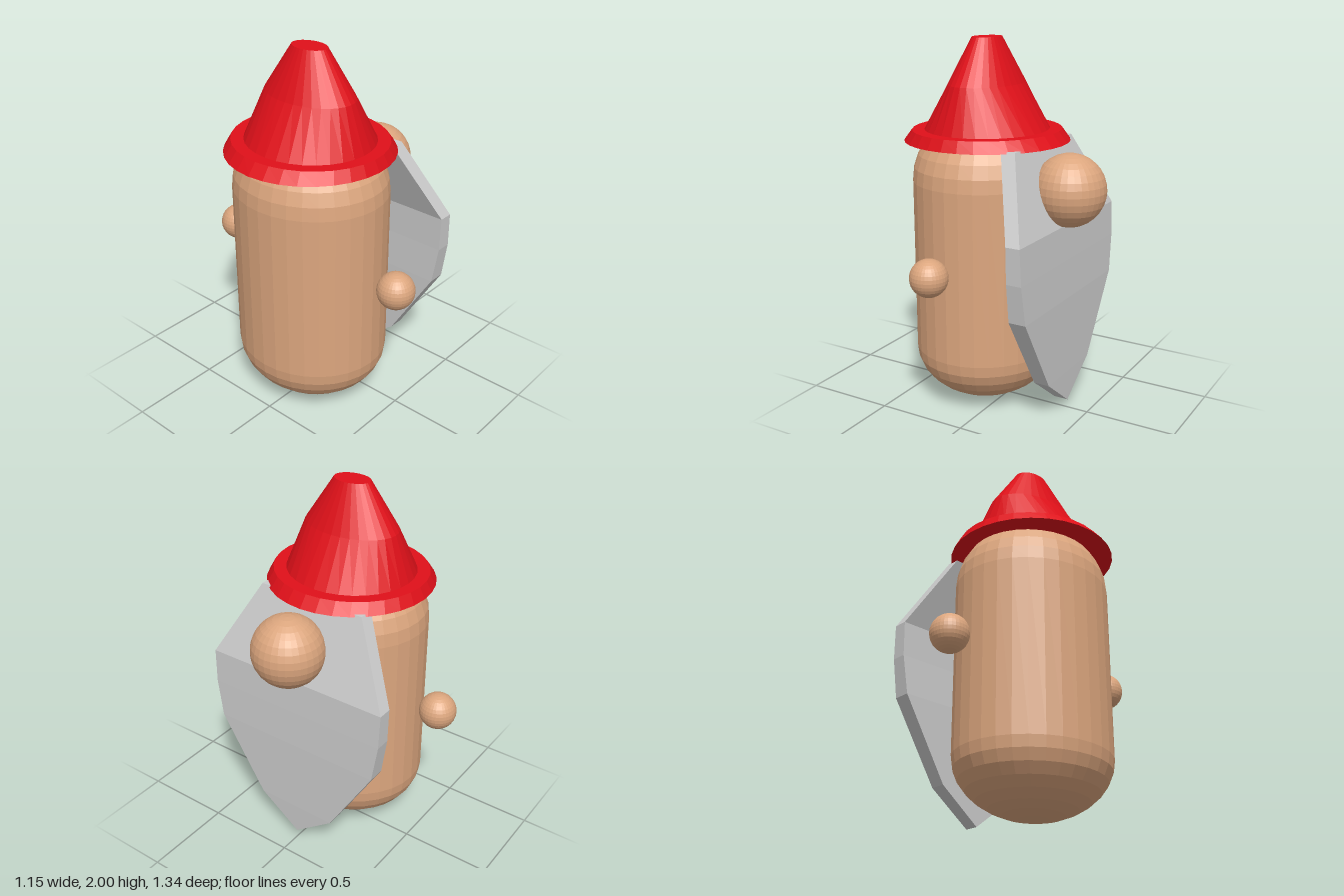
import * as THREE from 'three';

const skin = new THREE.MeshStandardMaterial({ color: 0xdca67e, flatShading: true });
const red = new THREE.MeshStandardMaterial({ color: 0xe01019, flatShading: true });
const grey = new THREE.MeshStandardMaterial({ color: 0xcccccc, flatShading: true });

const CX = -0.13; // axis of body and hat
const CZ = -0.007;

function addMesh(group, name, geometry, material, x = 0, y = 0, z = 0) {
  const mesh = new THREE.Mesh(geometry, material);
  mesh.name = name;
  mesh.position.set(x, y, z);
  group.add(mesh);
  return mesh;
}

// Stacked elliptical rings, given as [y, x radius, z radius] from bottom to top
function ellipticalLathe(rings, segments = 32) {
  const geometry = new THREE.LatheGeometry(rings.map(([y]) => new THREE.Vector2(1, y)), segments);
  const p = geometry.attributes.position;
  for (let i = 0; i < p.count; i++) {
    const [, rx, rz] = rings[i % rings.length];
    p.setX(i, p.getX(i) * rx);
    p.setZ(i, p.getZ(i) * rz);
  }
  geometry.computeVertexNormals();
  return geometry;
}

// Pill-shaped body, slightly wider across than deep
function bodyGeometry() {
  const rings = [];
  const steps = 8;
  const cap = (baseY, height, t) => {
    const r = Math.cos(t);
    rings.push([baseY + height * Math.sin(t), 0.393 * r, 0.428 * r]);
  };
  for (let i = 0; i <= steps; i++) cap(0.31, 0.305, (i / steps - 1) * Math.PI / 2);
  for (let i = 0; i <= steps; i++) cap(1.25, 0.37, (i / steps) * Math.PI / 2);
  return ellipticalLathe(rings);
}

// Bent slab: each row is [y, half width, inner x, outer x]
function beardGeometry() {
  const rows = [
    [1.47, 0.31, 0.14, 0.22],
    [1.06, 0.535, 0.297, 0.375],
    [0.87, 0.53, 0.298, 0.382],
    [0.66, 0.497, 0.293, 0.388],
    [0.23, 0.235, 0.298, 0.385],
    [0.05, 0, 0.3, 0.38],
  ];
  const n = rows.length - 1;
  const geometry = new THREE.BoxGeometry(1, 1, 1, 1, n, 1);
  const p = geometry.attributes.position;
  for (let i = 0; i < p.count; i++) {
    const [y, half, inner, outer] = rows[Math.round((0.5 - p.getY(i)) * n)];
    p.setXYZ(i, p.getX(i) > 0 ? outer : inner, y, Math.sign(p.getZ(i)) * half);
  }
  geometry.computeVertexNormals();
  return geometry;
}

export function createModel() {
  const model = new THREE.Group();
  model.name = 'gnome';

  addMesh(model, 'body', bodyGeometry(), skin, CX, 0, CZ);

  // Flared brim and tapering crown with a flat tip
  const hat = ellipticalLathe([
    [1.46, 0, 0],
    [1.46, 0.445, 0.447],
    [1.52, 0.395, 0.418],
    [1.52, 0.33, 0.35],
    [1.76, 0.182, 0.265],
    [2.0, 0.07, 0.103],
    [2.0, 0, 0],
  ]);
  addMesh(model, 'hat', hat, red, CX, 0, CZ);

  addMesh(model, 'beard', beardGeometry(), grey);
  addMesh(model, 'nose', new THREE.SphereGeometry(0.193, 32, 16), skin, 0.38, 1.243, 0.022);

  // Floating hands on both sides
  for (const [name, z, y] of [['leftHand', -0.573, 0.83], ['rightHand', 0.567, 0.84]]) {
    addMesh(model, name, new THREE.SphereGeometry(0.1, 32, 16), skin, CX, y, z);
  }
  return model;
}
